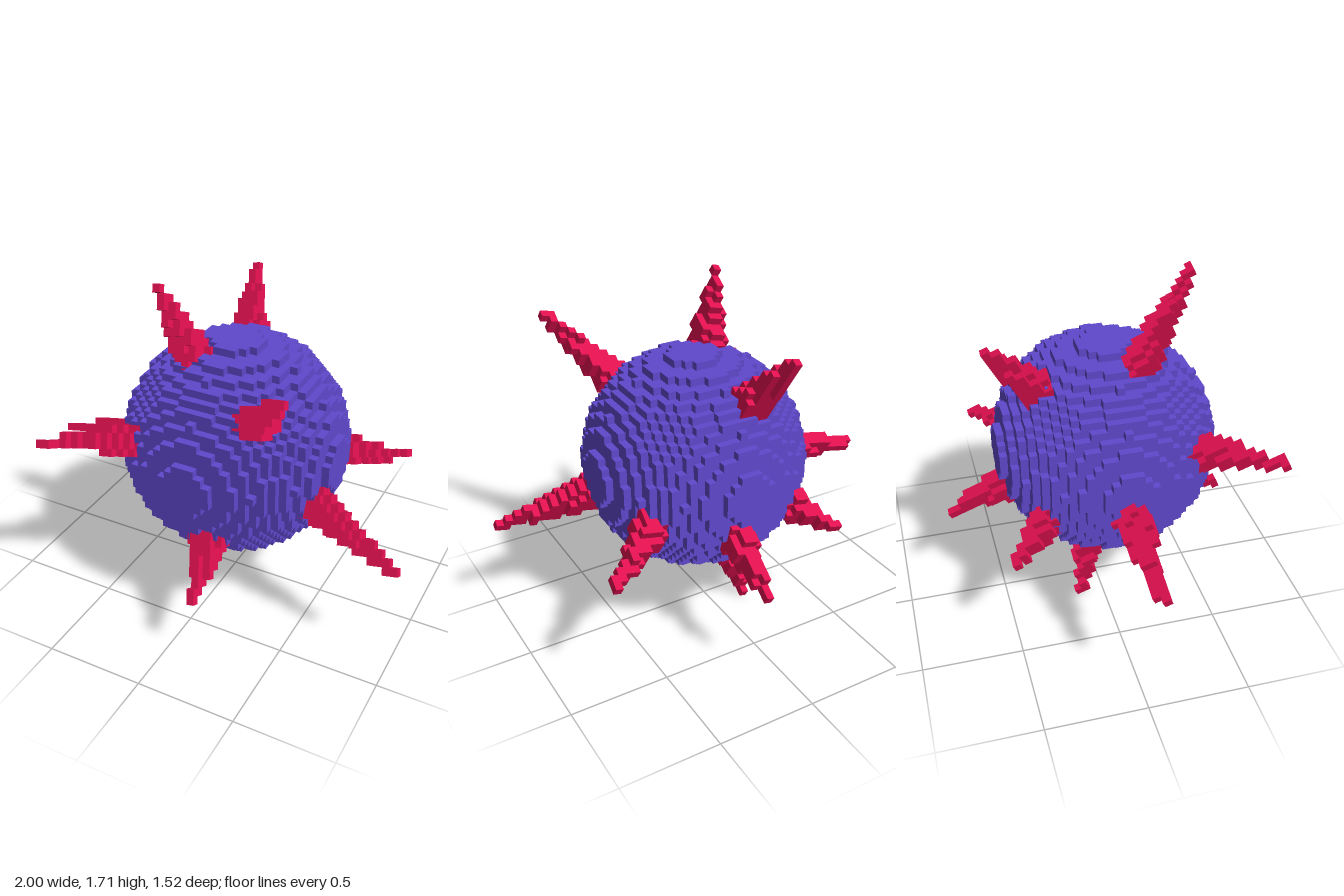
import * as THREE from 'three';

const S = 0.0377; // voxel edge length
const CENTER = new THREE.Vector3(0.034, 0.89, 0.049);

// Voxel set keyed by integer cell
const makeCells = () => new Map();
const add = (cells, x, y, z) => cells.set(`${x},${y},${z}`, [x, y, z]);

// Mesh holding only the exposed faces of a voxel set
function voxelMesh(name, cells, color) {
  const pos = [], idx = [];
  const corners = [[-0.5, -0.5], [0.5, -0.5], [0.5, 0.5], [-0.5, 0.5]];
  for (const cell of cells.values()) {
    for (let a = 0; a < 3; a++) {
      for (const s of [-1, 1]) {
        const next = [...cell];
        next[a] += s;
        if (cells.has(next.join())) continue;
        const n = pos.length / 3;
        for (const [u, v] of corners) {
          const p = [...cell];
          p[a] += s * 0.5;
          p[(a + 1) % 3] += u;
          p[(a + 2) % 3] += v;
          pos.push(p[0] * S, p[1] * S, p[2] * S);
        }
        if (s > 0) idx.push(n, n + 1, n + 2, n, n + 2, n + 3);
        else idx.push(n, n + 2, n + 1, n, n + 3, n + 2);
      }
    }
  }
  const geo = new THREE.BufferGeometry();
  geo.setAttribute('position', new THREE.Float32BufferAttribute(pos, 3));
  geo.setIndex(idx);
  geo.computeVertexNormals();
  const mesh = new THREE.Mesh(geo, new THREE.MeshStandardMaterial({ color }));
  mesh.name = name;
  return mesh;
}

// Solid voxel ball, 29 cells across
function ballCells() {
  const cells = makeCells(), n = 14;
  for (let x = -n; x <= n; x++)
    for (let y = -n; y <= n; y++)
      for (let z = -n; z <= n; z++)
        if (x * x + y * y + z * z <= 208.5) add(cells, x, y, z);
  return cells;
}

// Tapered voxel spike along a radial direction given in cell units
function spikeCells(tip) {
  const cells = makeCells();
  const length = tip.length(), dir = tip.clone().normalize();
  const start = 12.5, p = new THREE.Vector3();
  const n = Math.ceil(length) + 2;
  for (let x = -n; x <= n; x++)
    for (let y = -n; y <= n; y++)
      for (let z = -n; z <= n; z++) {
        p.set(x, y, z);
        const t = p.dot(dir);
        if (t < start || t > length) continue;
        const off = Math.sqrt(Math.max(0, p.lengthSq() - t * t));
        if (off <= THREE.MathUtils.mapLinear(t, start, length, 2.6, 0.4)) add(cells, x, y, z);
      }
  // Unbroken core out to the tip
  for (let t = start; t <= length; t += 0.25) {
    p.copy(dir).multiplyScalar(t).round();
    add(cells, p.x + 0, p.y + 0, p.z + 0);
  }
  return cells;
}

export function createModel() {
  const model = new THREE.Group();
  model.name = 'spikyBall';

  const body = voxelMesh('body', ballCells(), 0x6048cc);
  body.position.copy(CENTER);
  model.add(body);

  // All spikes share one tilted voxel grid
  const right = new THREE.Vector3(0.975, 0.22, 0.01).normalize();
  const front = new THREE.Vector3(-0.09, 0.43, 0.9);
  front.addScaledVector(right, -front.dot(right)).normalize();
  const up = new THREE.Vector3().crossVectors(front, right);
  const basis = new THREE.Matrix4().makeBasis(right, up, front);
  const toGrid = basis.clone().transpose();

  const spikes = new THREE.Group();
  spikes.name = 'spikes';
  spikes.position.copy(CENTER);
  spikes.quaternion.setFromRotationMatrix(basis);
  model.add(spikes);

  const tips = {
    topFrontSpike: [-0.25, 1.76, 0.3],
    topBackSpike: [-0.15, 1.57, -0.55],
    upperLeftSpike: [0.54, 1.52, 0.67],
    upperRightSpike: [-0.63, 1.06, 0.74],
    rightSpike: [-0.99, 0.67, 0.06],
    leftSpike: [0.98, 0.6, 0.34],
    lowerFrontSpike: [0.14, 0.39, 0.72],
    bottomSpike: [-0.18, 0.03, -0.13],
    backRightSpike: [-0.48, 0.57, -0.52],
    backLeftSpike: [0.75, 0.66, -0.51],
    backSpike: [0.1, 0.52, -0.75],
  };
  for (const [name, tip] of Object.entries(tips)) {
    const v = new THREE.Vector3(...tip).sub(CENTER);
    v.setLength(v.length() - 0.012).divideScalar(S).applyMatrix4(toGrid);
    spikes.add(voxelMesh(name, spikeCells(v), 0xe0104f));
  }
  return model;
}
